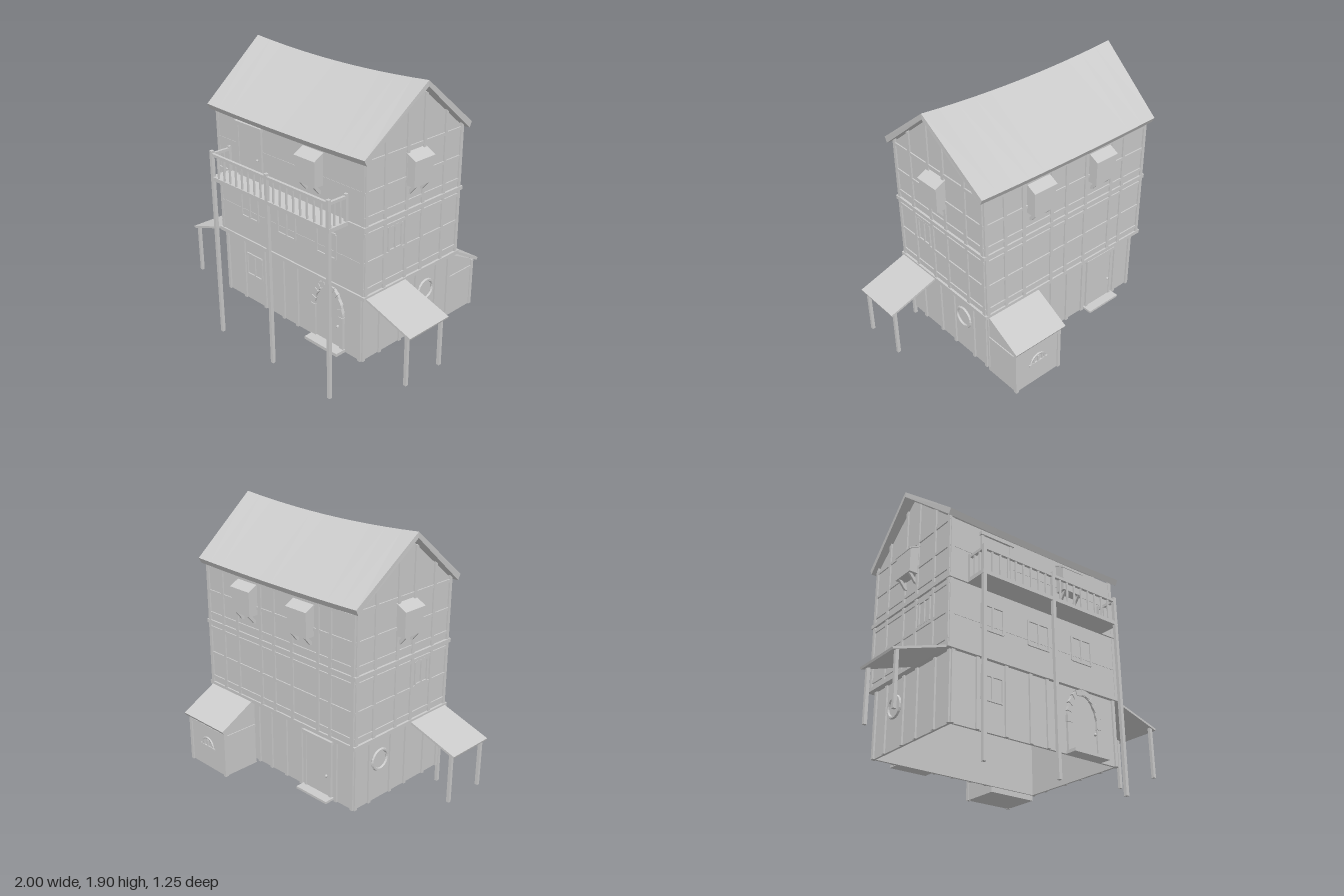
import * as THREE from 'three';

const mat = new THREE.MeshStandardMaterial({ color: 0xcccccc, flatShading: true, side: THREE.DoubleSide });

function add(parent, name, geometry) {
  const mesh = new THREE.Mesh(geometry, mat);
  mesh.name = name;
  parent.add(mesh);
  return mesh;
}

// box given by its limits
function box(parent, name, x0, x1, y0, y1, z0, z1) {
  const g = new THREE.BoxGeometry(x1 - x0, y1 - y0, z1 - z0);
  return add(parent, name, g.translate((x0 + x1) / 2, (y0 + y1) / 2, (z0 + z1) / 2));
}

const polygon = (pts) => new THREE.Shape(pts.map(([x, y]) => new THREE.Vector2(x, y)));
const extrude = (shape, depth) => new THREE.ExtrudeGeometry(shape, { depth, bevelEnabled: false, curveSegments: 10 });

// profile in (z, y) extruded along x, centred on x
function sideExtrude(pts, width, x) {
  return extrude(polygon(pts), width).rotateY(-Math.PI / 2).translate(x + width / 2, 0, 0);
}

// hollow rectangular storey or belt, open above and below
function ring(parent, name, x, z0, z1, y0, y1, t) {
  const rect = (i) => [[-x + i, -z1 + i], [x - i, -z1 + i], [x - i, -z0 - i], [-x + i, -z0 - i]];
  const shape = polygon(rect(0));
  shape.holes.push(polygon(rect(t)));
  add(parent, name, extrude(shape, y1 - y0).rotateX(-Math.PI / 2).translate(0, y0, 0));
}

const ground = { x: 0.625, z0: -0.34, z1: 0.45, y0: 0.235, y1: 0.67 };
const middle = { x: 0.65, z0: -0.372, z1: 0.464, y0: 0.69, y1: 1.11 };
const upper = { ...middle, y0: 1.13, y1: 1.515 };
const ridgeZ = 0.045;
const roofUnder = (z) => 1.858 - 0.773 * Math.abs(z - ridgeZ);

// group at a point along a wall, its local +z facing outward
function onWall(parent, name, floor, side, u) {
  const g = new THREE.Group();
  g.name = name;
  if (side === 'front') g.position.set(u, 0, floor.z1);
  if (side === 'back') g.position.set(u, 0, floor.z0);
  if (side === 'left') g.position.set(floor.x, 0, u);
  if (side === 'right') g.position.set(-floor.x, 0, u);
  g.rotation.y = { front: 0, back: Math.PI, left: Math.PI / 2, right: -Math.PI / 2 }[side];
  parent.add(g);
  return g;
}

// upright and horizontal timbers of one storey
function timbers(house, floor, side, studs, rails, proud) {
  const long = side === 'front' || side === 'back';
  for (const u of studs) {
    const top = floor === upper && !long ? roofUnder(u) : floor.y1;
    box(onWall(house, 'stud', floor, side, u), 'studBeam', -0.011, 0.011, floor.y0, top, -0.005, proud);
  }
  const mid = long ? 0 : (floor.z0 + floor.z1) / 2;
  const half = long ? floor.x : (floor.z1 - floor.z0) / 2;
  for (const y of rails) {
    box(onWall(house, 'rail', floor, side, mid), 'railBeam', -half, half, y - 0.01, y + 0.01, -0.005, proud * 0.8);
  }
}

// small projecting bay with a sloped lid and two brackets
function bay(house, side, u) {
  const g = onWall(house, 'bayWindow', upper, side, u);
  add(g, 'bayBody', sideExtrude([[0, 1.285], [0.066, 1.285], [0.066, 1.44], [0, 1.475]], 0.16, 0));
  add(g, 'bayLid', sideExtrude([[0, 1.475], [0.073, 1.438], [0.073, 1.447], [0, 1.485]], 0.172, 0));
  for (const x of [-0.055, 0.055]) {
    add(g, 'bayBracket', sideExtrude([[0, 1.225], [0.015, 1.23], [0.06, 1.285], [0.035, 1.285], [0, 1.245]], 0.015, x));
  }
}

function plankDoor(house, floor, side, u, y0, y1) {
  const g = onWall(house, 'door', floor, side, u);
  box(g, 'doorPanel', -0.105, 0.105, y0, y1, -0.005, 0.008);
  for (const x of [-0.108, 0.108]) box(g, 'doorJamb', x - 0.009, x + 0.009, y0, y1, -0.005, 0.014);
  box(g, 'doorLintel', -0.125, 0.125, y1 - 0.005, y1 + 0.018, -0.005, 0.022);
  add(g, 'doorKnob', new THREE.SphereGeometry(0.009, 8, 6).translate(0.08, y0 + 0.15, 0.016));
  return g;
}

function casement(house, floor, side, u, y, w, h) {
  const g = onWall(house, 'window', floor, side, u);
  for (const x of [-w / 2, 0, w / 2]) box(g, 'windowUpright', x - 0.006, x + 0.006, y - h / 2, y + h / 2, -0.005, 0.009);
  for (const v of [y - h / 2, y + h / 2]) box(g, 'windowRail', -w / 2, w / 2, v - 0.006, v + 0.006, -0.005, 0.009);
}

function archShape(w, h) {
  const s = new THREE.Shape();
  s.moveTo(-w, 0).lineTo(-w, 0.22);
  s.absellipse(0, 0.22, w, h - 0.22, Math.PI, 0, true);
  s.lineTo(w, 0);
  return s;
}

// arched entrance with a stone surround
function entrance(house) {
  const g = onWall(house, 'entrance', ground, 'front', 0.35);
  const arch = archShape(0.135, 0.435);
  arch.holes.push(archShape(0.105, 0.395));
  add(g, 'archSurround', extrude(arch, 0.018).translate(0, 0.235, -0.002));
  add(g, 'archDoor', extrude(archShape(0.106, 0.396), 0.006).translate(0, 0.235, 0));
  for (let i = 0; i <= 10; i++) {
    const a = (i / 10) * Math.PI;
    const stone = add(g, 'archStone', new THREE.BoxGeometry(0.036, i % 2 ? 0.03 : 0.042, 0.026));
    stone.position.set(0.12 * Math.cos(a), 0.455 + 0.195 * Math.sin(a), 0.008);
    stone.rotation.z = a;
  }
  add(g, 'doorKnob', new THREE.SphereGeometry(0.01, 8, 6).translate(0.09, 0.4, 0.014));
  box(g, 'doorStep', -0.14, 0.14, 0.235, 0.255, 0, 0.075);
}

// sagging saddle roof built from cross-sections along x
function roofGeometry() {
  const profile = [[0.503, 1.545, 0], [ridgeZ, 1.898, 1], [-0.41, 1.545, 0], [-0.392, 1.51, 0], [ridgeZ, 1.862, 1], [0.485, 1.51, 0]];
  const n = 12, pos = [], idx = [];
  for (let i = 0; i <= n; i++) {
    const t = (i / n) * 2 - 1;
    for (const [z, y, r] of profile) {
      pos.push(t * (r ? 0.722 : 0.685), y - (1 - t * t) * (r ? 0.032 : 0.01), z);
    }
  }
  for (let i = 0; i < n; i++) {
    for (let j = 0; j < 6; j++) {
      const a = i * 6 + j, b = i * 6 + ((j + 1) % 6);
      idx.push(a, a + 6, b, b, a + 6, b + 6);
    }
  }
  for (const e of [0, n * 6]) {
    const caps = [0, 1, 4, 0, 4, 5, 1, 2, 3, 1, 3, 4].map((k) => k + e);
    idx.push(...(e ? caps.reverse() : caps));
  }
  const g = new THREE.BufferGeometry();
  g.setAttribute('position', new THREE.Float32BufferAttribute(pos, 3));
  g.setIndex(idx);
  g.computeVertexNormals();
  return g;
}

export function createModel() {
  const house = new THREE.Group();
  house.name = 'timberHouse';

  // storeys, belts, gables and roof
  for (const f of [ground, middle, upper]) ring(house, 'storeyWalls', f.x, f.z0, f.z1, f.y0, f.y1, 0.015);
  ring(house, 'lowerBelt', 0.665, -0.383, 0.475, 0.667, 0.692, 0.09);
  ring(house, 'upperBelt', 0.665, -0.383, 0.475, 1.108, 1.133, 0.09);
  for (const x of [-0.642, 0.642]) {
    add(house, 'gable', sideExtrude([[0.464, 1.515], [ridgeZ, 1.858], [-0.372, 1.515]], 0.015, x));
  }
  add(house, 'roof', roofGeometry());

  // timber framing
  const sideStuds = [0.45, 0.3, 0.12, -0.02, -0.21, -0.358];
  const backStuds = [-0.64, -0.46, -0.36, -0.14, 0.02, 0.14, 0.36, 0.5, 0.64];
  for (const side of ['left', 'right']) {
    timbers(house, ground, side, [0.44, 0.3, 0.12, -0.02, -0.21, -0.33], [], 0.012);
    timbers(house, middle, side, sideStuds, [0.73, 0.9, 1.08], 0.01);
    timbers(house, upper, side, sideStuds, [1.18, 1.33, 1.51], 0.01);
  }
  timbers(house, ground, 'front', [-0.615, -0.445, -0.24, -0.06, 0.07, 0.615], [], 0.012);
  timbers(house, ground, 'back', [-0.615, -0.48, -0.18, -0.04, 0.1, 0.22, 0.615], [], 0.012);
  timbers(house, middle, 'back', backStuds, [0.73, 0.9, 1.08], 0.01);
  timbers(house, upper, 'back', backStuds, [1.18, 1.33, 1.49], 0.01);
  for (const f of [middle, upper]) timbers(house, f, 'front', [-0.64, 0.64], [f.y0 + 0.2], 0.003);

  // doors and windows
  entrance(house);
  plankDoor(house, upper, 'front', -0.32, 1.13, 1.475);
  const backDoor = plankDoor(house, ground, 'back', -0.33, 0.24, 0.62);
  box(backDoor, 'doorStep', -0.13, 0.13, 0.235, 0.25, 0, 0.07);
  casement(house, ground, 'front', -0.342, 0.5, 0.15, 0.15);
  for (const u of [-0.35, 0, 0.35]) casement(house, middle, 'front', u, 0.93, 0.16, 0.16);
  for (const side of ['left', 'right']) {
    const g = onWall(house, 'roundWindow', ground, side, -0.115);
    add(g, 'roundFrame', new THREE.TorusGeometry(0.065, 0.011, 6, 20).translate(0, 0.5, 0.004));
    casement(house, middle, side, 0.21, 0.99, 0.11, 0.15);
    bay(house, side, 0.048);
  }
  bay(house, 'front', 0.245);
  for (const x of [-0.245, 0.25]) bay(house, 'back', x);

  // balcony on three tall posts
  box(house, 'balconyFloor', -0.535, 0.535, 1.108, 1.133, 0.46, 0.62);
  for (const x of [-0.52, 0, 0.52]) box(house, 'balconyPost', x - 0.011, x + 0.011, 0, 1.305, 0.6, 0.622);
  box(house, 'balconyHandrail', -0.53, 0.53, 1.272, 1.29, 0.602, 0.62);
  for (let i = 1; i < 18; i++) {
    const x = -0.52 + (i * 1.04) / 18;
    box(house, 'baluster', x - 0.005, x + 0.005, 1.13, 1.275, 0.606, 0.616);
  }
  for (const x of [-0.52, 0.52]) {
    box(house, 'sideHandrail', x - 0.009, x + 0.009, 1.272, 1.29, 0.464, 0.61);
    box(house, 'railPost', x - 0.01, x + 0.01, 1.13, 1.3, 0.466, 0.486);
    for (const z of [0.52, 0.565]) box(house, 'baluster', x - 0.005, x + 0.005, 1.13, 1.275, z - 0.005, z + 0.005);
  }

  // mirrored side awnings
  for (const s of [-1, 1]) {
    const slab = add(house, 'awningRoof', new THREE.BoxGeometry(0.372, 0.014, 0.335));
    slab.position.set(s * 0.823, 0.62, 0.288);
    slab.rotation.z = -s * 0.317;
    for (const z of [0.145, 0.437]) box(house, 'awningPost', s * 0.965 - 0.01, s * 0.965 + 0.01, 0.235, 0.575, z - 0.01, z + 0.01);
  }

  // lean-to shed at the back
  const shed = new THREE.Group();
  shed.name = 'shed';
  house.add(shed);
  add(shed, 'shedWalls', sideExtrude([[-0.335, 0.2], [-0.335, 0.66], [-0.595, 0.53], [-0.595, 0.2]], 0.35, 0.443));
  add(shed, 'shedRoof', sideExtrude([[-0.36, 0.668], [-0.36, 0.685], [-0.628, 0.54], [-0.618, 0.522]], 0.395, 0.443));
  for (const x of [0.272, 0.614]) box(shed, 'shedPost', x - 0.011, x + 0.011, 0.198, 0.53, -0.604, -0.58);
  for (const x of [0.266, 0.62]) box(shed, 'shedSideRail', x - 0.005, x + 0.005, 0.47, 0.49, -0.59, -0.335);
  box(shed, 'shedBackRail', 0.27, 0.615, 0.485, 0.505, -0.602, -0.59);
  add(shed, 'fanlight', new THREE.TorusGeometry(0.055, 0.008, 5, 12, Math.PI).translate(0.443, 0.36, -0.598));
  for (const x of [-0.035, 0, 0.035]) box(shed, 'fanlightBar', 0.437 + x, 0.449 + x, 0.35, 0.4, -0.603, -0.59);
  box(shed, 'fanlightSill', 0.37, 0.516, 0.345, 0.36, -0.605, -0.59);

  return house;
}
